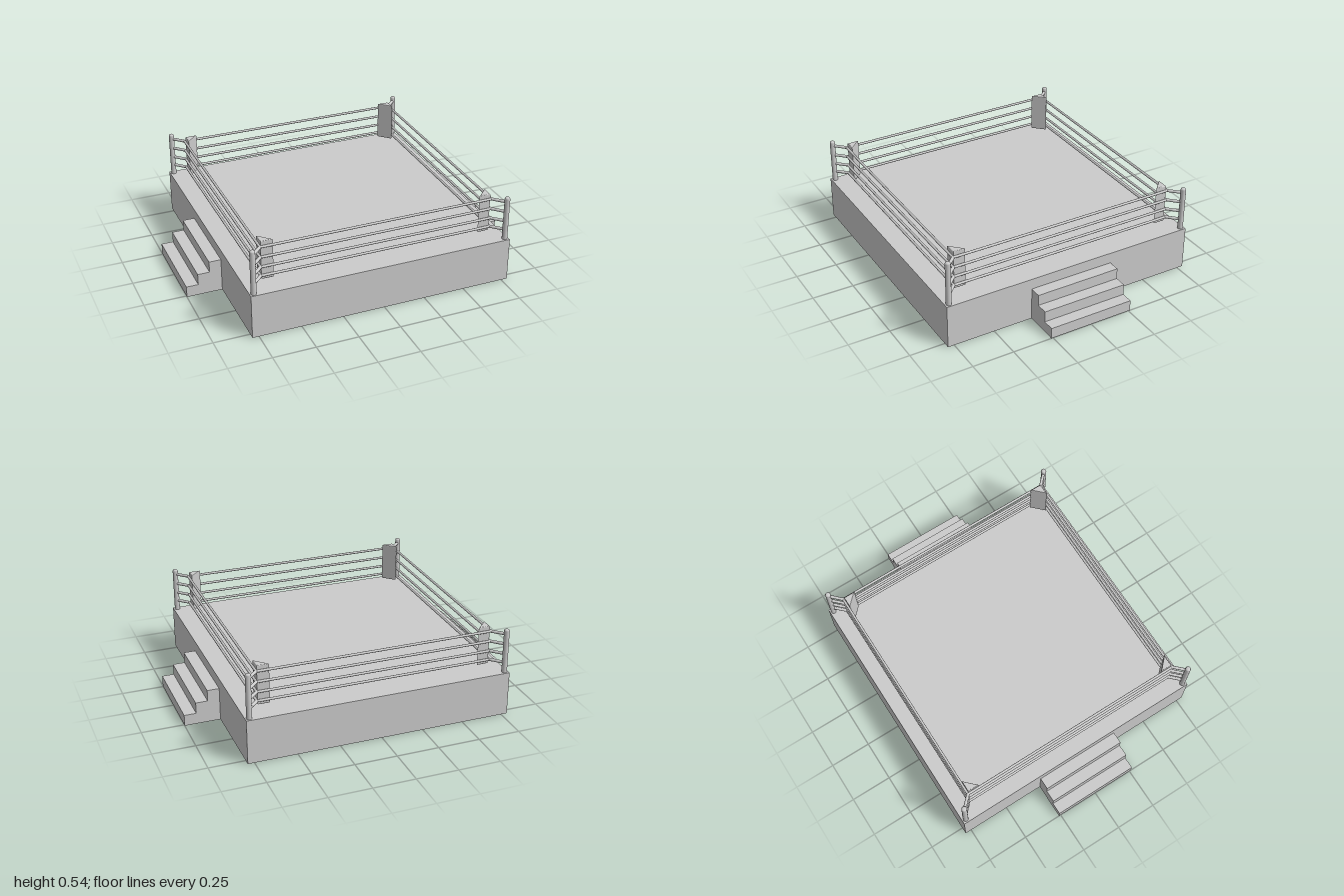
import * as THREE from 'three';

const grey = new THREE.MeshStandardMaterial({ color: 0xcccccc });
const shell = new THREE.MeshStandardMaterial({ color: 0xcccccc, side: THREE.DoubleSide });

const HALF = 0.788, DECK = 0.265;   // platform half width and height
const ROPE = 0.7, POST = 0.765;     // rope square and post offsets
const LEVELS = [0.325, 0.38, 0.441, 0.504];

function add(parent, name, geometry, material = grey) {
  const mesh = new THREE.Mesh(geometry, material);
  mesh.name = name;
  parent.add(mesh);
  return mesh;
}

// Round bar between two points
function bar(parent, name, a, b, radius) {
  const dir = b.clone().sub(a);
  const mesh = add(parent, name, new THREE.CylinderGeometry(radius, radius, dir.length(), 12));
  mesh.position.copy(a).lerp(b, 0.5);
  mesh.quaternion.setFromUnitVectors(new THREE.Vector3(0, 1, 0), dir.normalize());
  return mesh;
}

// Hollow platform: a box without its bottom
function platform() {
  const geo = new THREE.BoxGeometry(2 * HALF, DECK, 2 * HALF);
  const index = Array.from(geo.index.array);
  index.splice(18, 6);
  geo.setIndex(index);
  geo.clearGroups();
  geo.translate(0, DECK / 2, 0);
  return geo;
}

// Three hollow steps on the +x side, open below and against the platform
function steps() {
  const group = new THREE.Group();
  const count = 3, run = (1 - HALF) / count, rise = 0.2 / count, halfWidth = 0.261;
  const profile = [[HALF, 0], [HALF, 0.2]];
  for (let i = 0; i < count; i++) {
    const x = HALF + run * (i + 1), top = rise * (count - i);
    profile.push([x, top], [x, top - rise]);
    const tread = add(group, 'stepTread', new THREE.PlaneGeometry(run, 2 * halfWidth), shell);
    tread.rotation.x = -Math.PI / 2;
    tread.position.set(x - run / 2, top, 0);
    const riser = add(group, 'stepRiser', new THREE.PlaneGeometry(2 * halfWidth, rise), shell);
    riser.rotation.y = Math.PI / 2;
    riser.position.set(x, top - rise / 2, 0);
  }
  const side = new THREE.ShapeGeometry(new THREE.Shape(profile.map(p => new THREE.Vector2(...p))));
  for (const s of [-1, 1]) add(group, 'stepSide', side, shell).position.z = s * halfWidth;
  return group;
}

// One corner (+x, +z): post, turnbuckles and triangular pad
function corner() {
  const group = new THREE.Group();
  const r = 0.016, top = 0.535;
  const outline = [[r, DECK], [r, top - 0.01], [r * 0.85, top - 0.004], [r * 0.5, top], [0, top]];
  const post = add(group, 'cornerPost', new THREE.LatheGeometry(outline.map(p => new THREE.Vector2(...p)), 20));
  post.position.set(POST, 0, POST);

  for (const y of LEVELS) {
    bar(group, 'turnbuckle', new THREE.Vector3(ROPE, y, ROPE), new THREE.Vector3(POST, y, POST), 0.009);
    add(group, 'ropeJoint', new THREE.SphereGeometry(0.009, 12, 8)).position.set(ROPE, y, ROPE);
  }

  // Triangle drawn with y as -z, then stood upright
  const inner = 0.624, outer = 0.694, bevel = 0.006, bottom = 0.298;
  const shape = new THREE.Shape([
    new THREE.Vector2(outer, -outer), new THREE.Vector2(outer, -inner), new THREE.Vector2(inner, -outer),
  ]);
  const padGeo = new THREE.ExtrudeGeometry(shape, {
    depth: top - bottom - 2 * bevel, bevelThickness: bevel, bevelSize: bevel,
    bevelOffset: -bevel, bevelSegments: 3,
  });
  padGeo.rotateX(-Math.PI / 2);
  add(group, 'cornerPad', padGeo).position.y = bottom + bevel;
  return group;
}

export function createModel() {
  const model = new THREE.Group();
  model.name = 'ring';
  add(model, 'platform', platform(), shell);

  for (let i = 0; i < 2; i++) {
    const s = steps();
    s.name = i ? 'rightSteps' : 'leftSteps';
    s.rotation.y = i * Math.PI;
    model.add(s);
  }

  // Four identical sides, each with a corner and its ropes
  for (let i = 0; i < 4; i++) {
    const side = new THREE.Group();
    side.name = 'ringSide';
    const c = corner();
    c.name = 'corner';
    side.add(c);
    for (const y of LEVELS)
      bar(side, 'rope', new THREE.Vector3(-ROPE, y, ROPE), new THREE.Vector3(ROPE, y, ROPE), 0.0075);
    side.rotation.y = i * Math.PI / 2;
    model.add(side);
  }
  return model;
}
